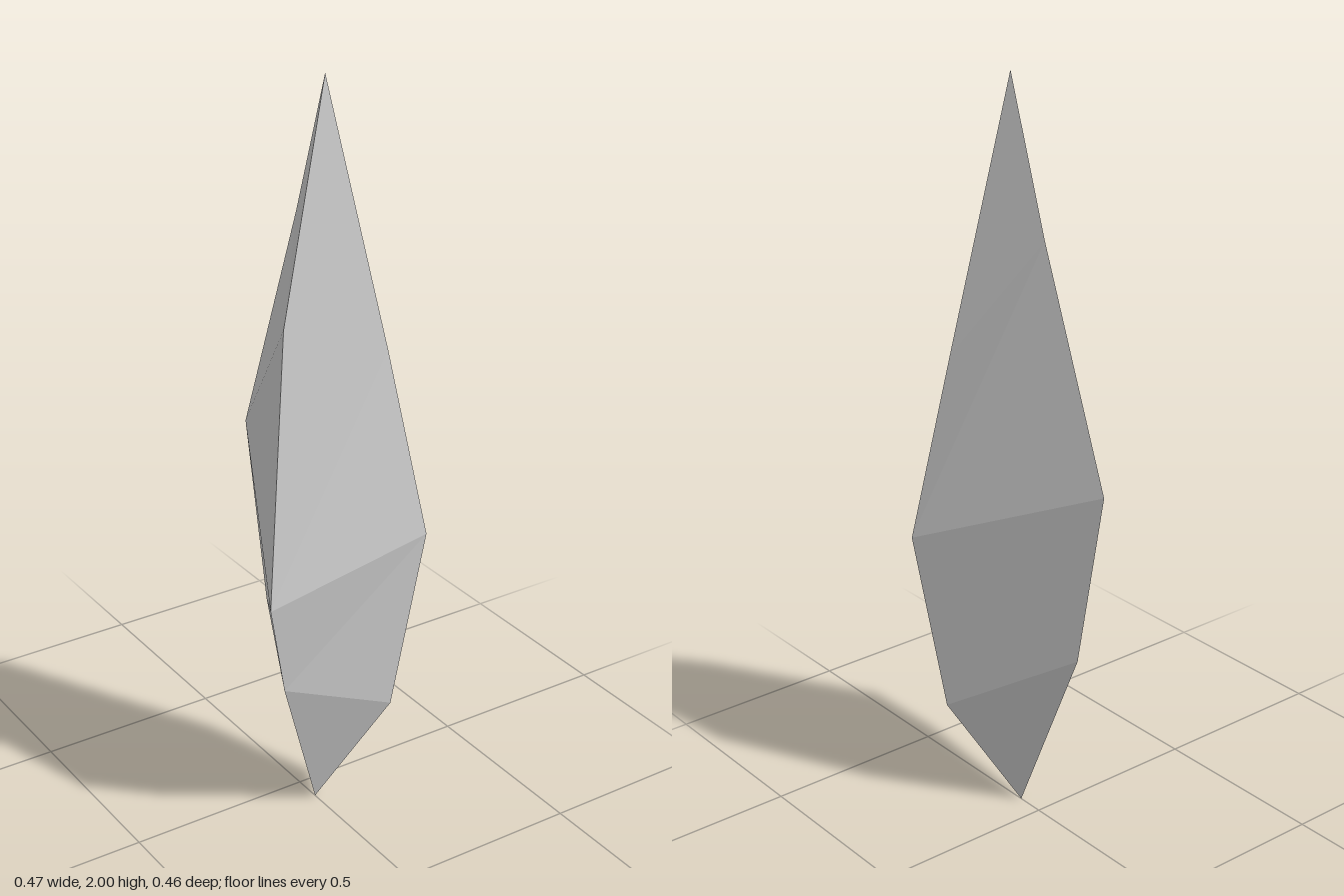
import * as THREE from 'three';

// Three-sided cross-sections from bottom to top; corners: front left, front right, back
const tip = [0, 2, 0.105];
const base = [0, 0, 0.075];
const rings = [
  [[-0.17, 0.45, 0.19], [0.16, 0.3, 0.19], [-0.014, 0.51, -0.14]],
  [[-0.235, 0.72, 0.23], [0.232, 0.8, 0.23], [-0.018, 1.0, -0.23]],
  [[-0.15, 1.42, 0.16], [0.15, 1.3, 0.163], [0.022, 1.62, -0.05]],
];

function crystalGeometry() {
  const positions = [];
  const triangle = (a, b, c) => positions.push(...a, ...b, ...c);
  const last = rings.length - 1;
  for (let i = 0; i < 3; i++) {
    const j = (i + 1) % 3;
    // Lower point
    triangle(base, rings[0][j], rings[0][i]);
    // Side facets between neighbouring cross-sections
    for (let k = 0; k < last; k++) {
      const lower = rings[k], upper = rings[k + 1];
      triangle(lower[i], lower[j], upper[j]);
      triangle(lower[i], upper[j], upper[i]);
    }
    // Upper point
    triangle(rings[last][i], rings[last][j], tip);
  }
  const geometry = new THREE.BufferGeometry();
  geometry.setAttribute('position', new THREE.Float32BufferAttribute(positions, 3));
  geometry.computeVertexNormals();
  return geometry;
}

export function createModel() {
  const group = new THREE.Group();
  group.name = 'crystalShard';
  const material = new THREE.MeshStandardMaterial({ color: 0xcccccc, flatShading: true });
  const crystal = new THREE.Mesh(crystalGeometry(), material);
  crystal.name = 'crystal';
  group.add(crystal);
  return group;
}
